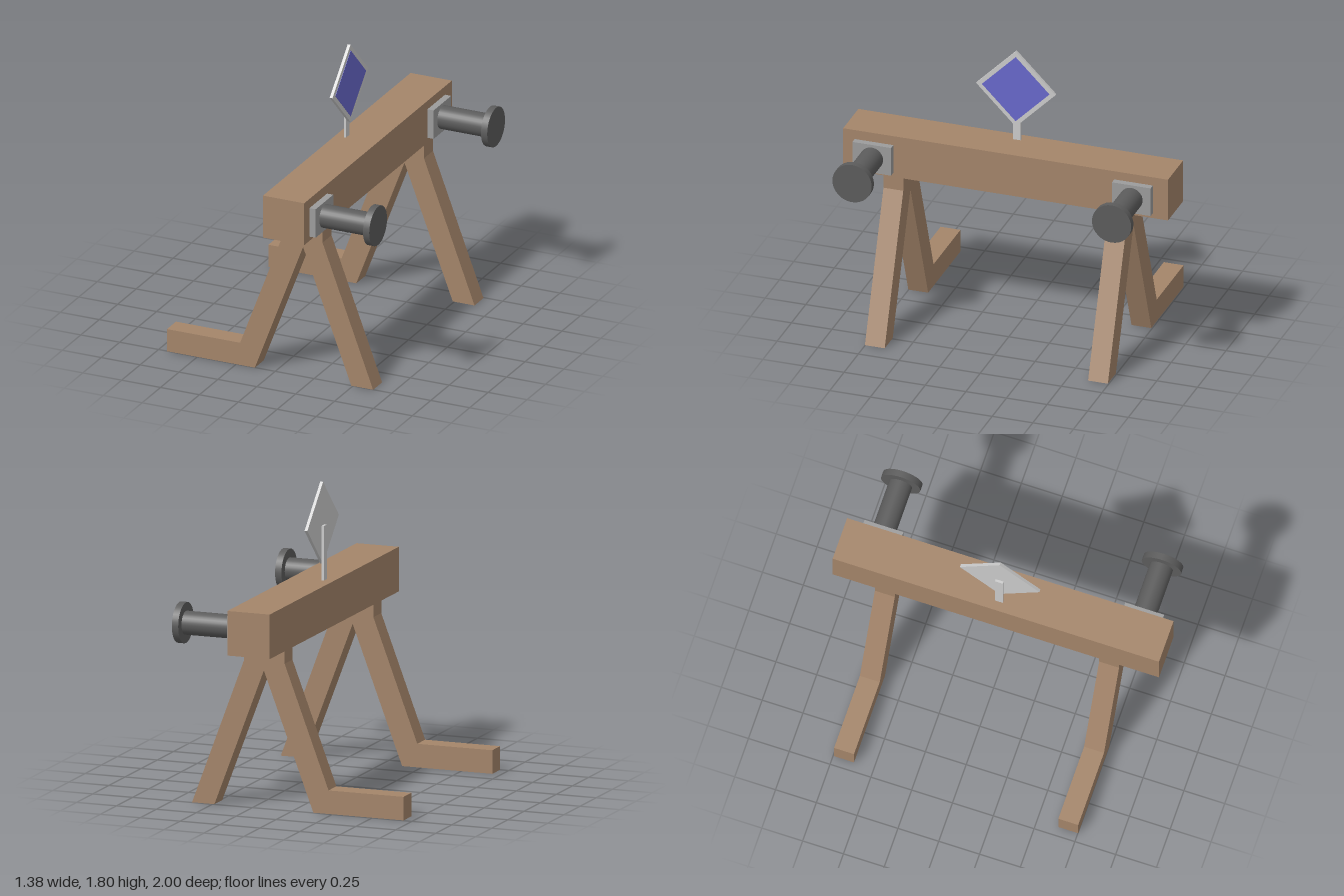
import * as THREE from 'three';

const material = (name, color) => {
  const m = new THREE.MeshStandardMaterial({ color });
  m.name = name;
  return m;
};

export function createModel() {
  const model = new THREE.Group();
  model.name = 'bufferStop';
  const wood = material('wood', 0xa4856a);
  const steel = material('steel', 0x9c9c9c);
  const iron = material('darkIron', 0x5c5c5c);
  const pale = material('paleGrey', 0xcccccc);
  const blue = material('blue', 0x6868cc);

  const add = (name, geometry, mat, x, y, z, parent = model) => {
    const mesh = new THREE.Mesh(geometry, mat);
    mesh.name = name;
    mesh.position.set(x, y, z);
    parent.add(mesh);
    return mesh;
  };

  // Main cross beam
  add('beam', new THREE.BoxGeometry(0.265, 0.265, 2), wood, 0.1725, 1.0825, 0);

  // Splayed leg frames with a foot running backwards
  const profile = [
    [0.05, 0.95], [0.05, 0.87], [-0.225, 0.14], [-0.695, 0.14], [-0.695, 0], [-0.13, 0],
    [0.18, 0.82], [0.49, 0], [0.63, 0], [0.305, 0.87], [0.305, 0.95],
  ].map(([x, y]) => new THREE.Vector2(x, y));
  const legGeometry = new THREE.ExtrudeGeometry(new THREE.Shape(profile), { depth: 0.122, bevelEnabled: false });
  add('frontLegFrame', legGeometry, wood, 0, 0, 0.63);
  add('backLegFrame', legGeometry, wood, 0, 0, -0.744);

  // Buffers: mounting plate, shaft and round head, pointing along +x
  const cylinderX = (radius, length) =>
    new THREE.CylinderGeometry(radius, radius, length, 32).rotateZ(-Math.PI / 2);
  for (const [name, y, z] of [['frontBuffer', 1.07, 0.81], ['backBuffer', 1.075, -0.788]]) {
    const buffer = new THREE.Group();
    buffer.name = name;
    buffer.position.set(0, y, z);
    model.add(buffer);
    add('mountingPlate', new THREE.BoxGeometry(0.04, 0.18, 0.238), steel, 0.325, -0.003, 0, buffer);
    add('shaft', cylinderX(0.07, 0.31), iron, 0.5, 0, 0, buffer);
    add('head', cylinderX(0.121, 0.04), iron, 0.67, 0, 0, buffer);
  }

  // Diamond sign on a short post
  add('signPost', new THREE.BoxGeometry(0.014, 0.33, 0.048), pale, 0.103, 1.375, 0);
  const diamond = (halfDiagonal, depth) => {
    const side = halfDiagonal * Math.SQRT2;
    return new THREE.BoxGeometry(depth, side, side).rotateX(Math.PI / 4);
  };
  add('signBoard', diamond(0.244, 0.018), pale, 0.119, 1.553, 0);
  add('signFace', diamond(0.208, 0.004), blue, 0.128, 1.553, 0);

  return model;
}
